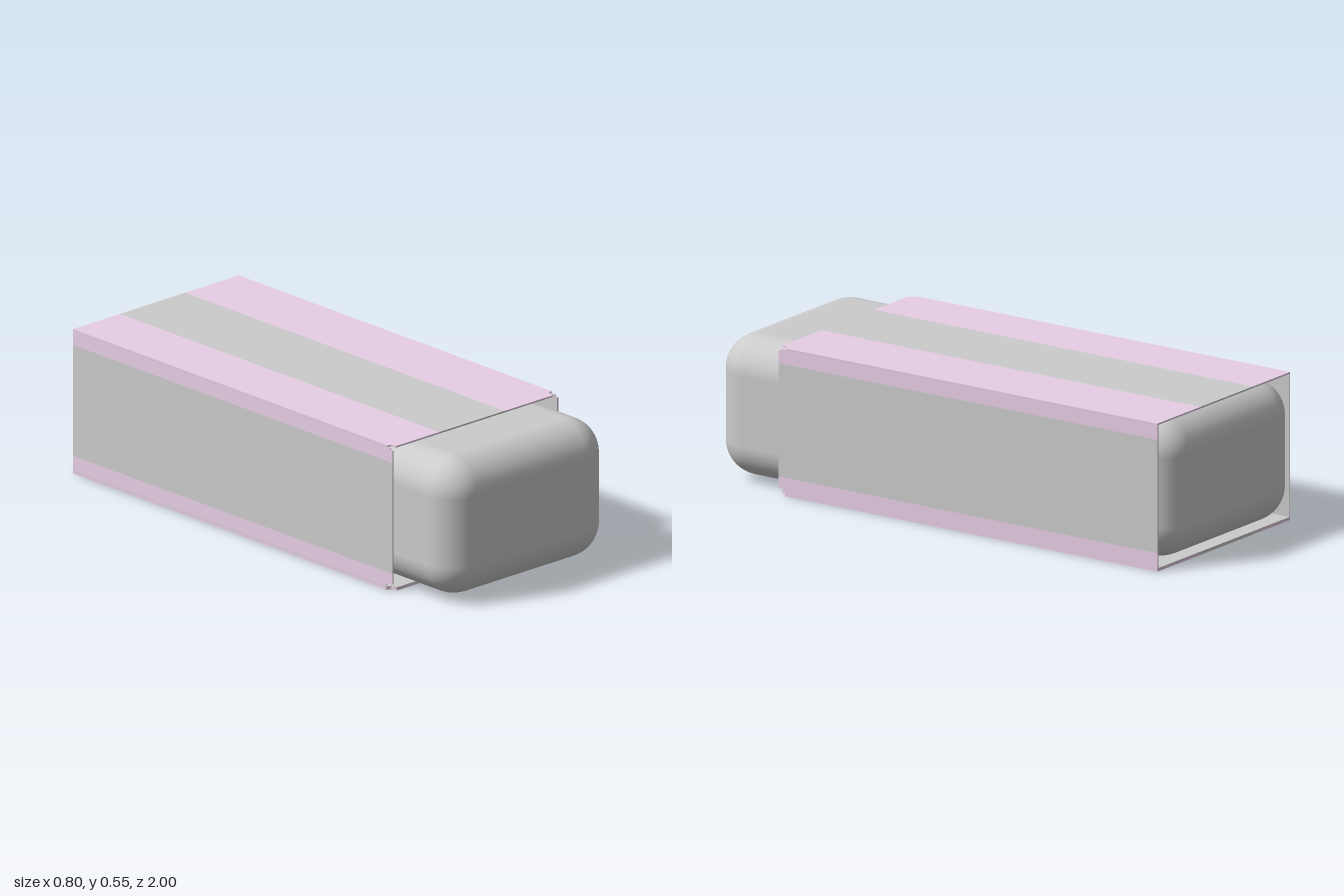
import * as THREE from 'three';
import { RoundedBoxGeometry } from 'three/addons/geometries/RoundedBoxGeometry.js';

const FRONT = 0.70, BACK = -0.955;   // sleeve ends along z
const HALF_W = 0.402, HEIGHT = 0.546; // sleeve outer size

const grey = new THREE.MeshStandardMaterial({ color: 0xcccccc });
const pink = new THREE.MeshStandardMaterial({ color: 0xe8cfe6 });

// Flat strip from a to b across a wall; cutA and cutB are the worn front corners [across, along]
function strip(a, b, y, thickness, cutA, cutB) {
  const s = new THREE.Shape();
  const f = -FRONT;
  s.moveTo(a + cutA[0], f);
  s.lineTo(b - cutB[0], f);
  if (cutB[0]) s.quadraticCurveTo(b - cutB[0], f + cutB[1], b, f + cutB[1]);
  s.lineTo(b, -BACK);
  s.lineTo(a, -BACK);
  s.lineTo(a, f + cutA[1]);
  if (cutA[0]) s.quadraticCurveTo(a + cutA[0], f + cutA[1], a + cutA[0], f);
  const g = new THREE.ExtrudeGeometry(s, { depth: thickness, bevelEnabled: false, curveSegments: 5 });
  g.rotateX(-Math.PI / 2);
  g.translate(0, y, 0);
  return g;
}

// One sleeve wall facing +y: pink edge, grey centre, pink edge, and a grey lining
function wall(name, half, g0, g1, outer, thickness, cutA, cutB) {
  const group = new THREE.Group();
  group.name = name;
  const none = [0, 0];
  const lining = thickness * 0.25;
  const skin = thickness - lining;
  const y = outer - skin;
  const add = (part, geometry, material) => {
    const mesh = new THREE.Mesh(geometry, material);
    mesh.name = part;
    group.add(mesh);
  };
  add('edgeBandA', strip(-half, g0, y, skin, cutA, none), pink);
  add('centreBand', strip(g0, g1, y, skin, none, none), grey);
  add('edgeBandB', strip(g1, half, y, skin, none, cutB), pink);
  add('lining', strip(-half, half, outer - thickness, lining, cutA, cutB), grey);
  return group;
}

export function createModel() {
  const model = new THREE.Group();
  model.name = 'sleevedEraser';

  // Rounded eraser block
  const eraser = new THREE.Mesh(new RoundedBoxGeometry(0.788, 0.52, 2, 6, 0.13), grey);
  eraser.name = 'eraserBlock';
  eraser.position.set(-0.002, 0.277, 0);
  model.add(eraser);

  // Card sleeve, open at both ends
  const sleeve = new THREE.Group();
  sleeve.name = 'sleeve';
  sleeve.position.y = HEIGHT / 2;
  model.add(sleeve);

  const halfH = HEIGHT / 2;
  const sideHalf = halfH - 0.006;
  const small = [0.008, 0.012], large = [0.022, 0.035];

  const top = wall('topWall', HALF_W, -0.175, 0.142, halfH, 0.006, [0.018, 0.025], [0.025, 0.035]);
  const bottom = wall('bottomWall', HALF_W, -0.142, 0.175, halfH, 0.012, [0.025, 0.03], [0.02, 0.03]);
  bottom.rotation.z = Math.PI;
  const left = wall('leftWall', sideHalf, -0.213, 0.205, HALF_W, 0.006, small, large);
  left.rotation.z = -Math.PI / 2;
  const right = wall('rightWall', sideHalf, -0.205, 0.213, HALF_W, 0.004, large, small);
  right.rotation.z = Math.PI / 2;
  sleeve.add(top, bottom, left, right);

  return model;
}
